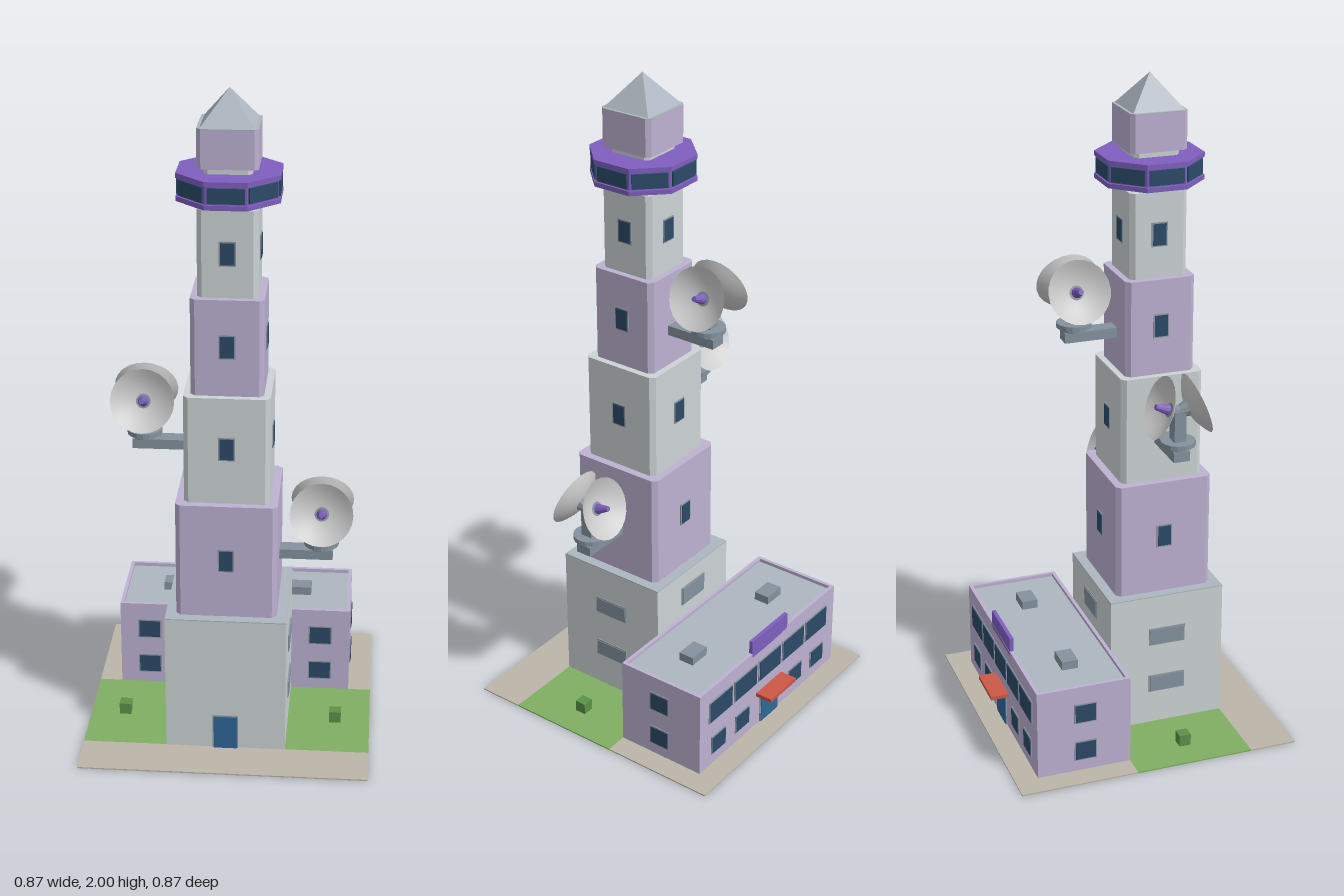
import * as THREE from 'three';

const mat = (color, side = THREE.FrontSide) => new THREE.MeshStandardMaterial({ color, side, flatShading: true });
const M = {
  pale: mat(0xcdd3d5, THREE.DoubleSide), lilac: mat(0xbdb1d2, THREE.DoubleSide), purple: mat(0x7f5fbf),
  glass: mat(0x2b4a68), frame: mat(0x8e97a3), steel: mat(0x84929e), roof: mat(0xadb6c0),
  door: mat(0x2e6797), grass: mat(0x7fae62), paving: mat(0xbcb5a8), bush: mat(0x5a9148), red: mat(0xcc5846),
};
M.dish = new THREE.MeshStandardMaterial({ color: 0xc6c4c2, side: THREE.DoubleSide });
const TZ = 0.11; // tower axis

function add(parent, name, geo, material, x = 0, y = 0, z = 0) {
  const m = new THREE.Mesh(geo, material);
  m.name = name;
  m.position.set(x, y, z);
  parent.add(m);
  return m;
}

// Box placed by its base height
function box(parent, name, material, w, h, d, x, y, z) {
  return add(parent, name, new THREE.BoxGeometry(w, h, d), material, x, y + h / 2, z);
}

// Box without its underside
function shell(parent, name, material, w, h, d, x, z) {
  const m = box(parent, name, material, w, h, d, x, 0, z);
  const idx = Array.from(m.geometry.index.array);
  idx.splice(18, 6);
  m.geometry.setIndex(idx);
  m.geometry.clearGroups();
  return m;
}

// Upright prism: square of half-width r with cut corners
function cutPrism(parent, name, material, r, cut, y0, y1, z = TZ) {
  const c = r - cut;
  const pts = [[r, -c], [r, c], [c, r], [-c, r], [-r, c], [-r, -c], [-c, -r], [c, -r]];
  const shape = new THREE.Shape(pts.map(p => new THREE.Vector2(...p)));
  const g = new THREE.ExtrudeGeometry(shape, { depth: y1 - y0, bevelEnabled: false }).rotateX(-Math.PI / 2);
  return add(parent, name, g, material, 0, y0, z);
}

// Framed pane; its local +z points out of the wall
function pane(parent, name, w, h, x, y, z, turn, material = M.glass) {
  const g = new THREE.Group();
  g.name = name;
  box(g, 'frame', M.frame, w + 0.008, h + 0.008, 0.006, 0, -h / 2 - 0.004, 0);
  box(g, 'pane', material, w, h, 0.01, 0, -h / 2, 0);
  g.position.set(x, y, z);
  g.rotation.y = turn;
  parent.add(g);
}

// Bracket with two dishes, reaching out along local +z
function dishMount(name, wall, y, turn) {
  const g = new THREE.Group();
  g.name = name;
  const c = wall + 0.125;
  box(g, 'arm', M.steel, 0.05, 0.03, 0.17, 0, -0.03, wall + 0.075);
  add(g, 'pivot', new THREE.CylinderGeometry(0.035, 0.035, 0.012, 16), M.steel, 0, 0.006, c);
  add(g, 'turntable', new THREE.CylinderGeometry(0.052, 0.052, 0.014, 16), M.steel, 0, 0.019, c);
  box(g, 'post', M.steel, 0.036, 0.1, 0.04, 0, 0.02, c);
  const profile = [];
  for (let i = 0; i <= 6; i++) profile.push(new THREE.Vector2(0.094 * i / 6, 0.034 * (i / 6) ** 2));
  for (const s of [1, -1]) {
    const d = new THREE.Group();
    d.name = 'dish';
    add(d, 'reflector', new THREE.LatheGeometry(profile, 24), M.dish);
    add(d, 'feedHorn', new THREE.CylinderGeometry(0.008, 0.016, 0.042, 10), M.purple, 0, 0.026, 0);
    add(d, 'hub', new THREE.CylinderGeometry(0.025, 0.018, 0.03, 10), M.steel, 0, -0.013, 0);
    d.position.set(s * 0.026, 0.122, c);
    d.rotation.z = -s * THREE.MathUtils.degToRad(70);
    g.add(d);
  }
  g.position.set(0, y, TZ);
  g.rotation.y = turn;
  return g;
}

function createModel() {
  const root = new THREE.Group();
  const group = name => {
    const g = new THREE.Group();
    g.name = name;
    root.add(g);
    return g;
  };

  // Ground tiles around the footprints
  const ground = group('ground');
  const H = 0.004;
  box(ground, 'frontPaving', M.paving, 0.87, H, 0.145, 0, 0, 0.3625);
  box(ground, 'backPaving', M.paving, 0.87, H, 0.07, 0, 0, -0.4);
  for (const s of [1, -1]) {
    box(ground, 'sidePaving', M.paving, 0.07, H, 0.29, s * 0.4, 0, -0.22);
    box(ground, 'lawn', M.grass, 0.255, H, 0.365, s * 0.3075, 0, 0.1075);
    box(ground, 'bush', M.bush, 0.036, 0.04, 0.036, s * 0.328, 0, TZ);
  }

  // Tower base
  const tower = group('tower');
  shell(tower, 'towerBase', M.pale, 0.362, 0.437, 0.362, 0, TZ);
  box(tower, 'baseRoof', M.roof, 0.362, 0.003, 0.362, 0, 0.437, TZ);
  pane(tower, 'frontDoor', 0.07, 0.108, 0, 0.058, TZ + 0.182, 0, M.door);
  for (const s of [1, -1]) for (const y of [0.14, 0.302])
    pane(tower, 'baseVent', 0.108, 0.048, s * 0.181, y, TZ, s * Math.PI / 2, M.steel);
  pane(tower, 'backVent', 0.108, 0.055, 0, 0.355, TZ - 0.181, Math.PI, M.steel);

  // Stepped shaft; each mount replaces the window on its side
  const tiers = [
    { r: 0.15, y0: 0.44, y1: 0.8, win: 0.625, m: M.lilac, mount: 1, my: 0.605 },
    { r: 0.126, y0: 0.8, y1: 1.13, win: 0.973, m: M.pale, mount: 3, my: 0.952 },
    { r: 0.106, y0: 1.13, y1: 1.42, win: 1.28, m: M.lilac, mount: 2, my: 1.258 },
    { r: 0.087, y0: 1.42, y1: 1.675, win: 1.55, m: M.pale, mount: -1 },
  ];
  tiers.forEach((t, i) => {
    cutPrism(tower, 'tier' + (i + 1), t.m, t.r, 0.014, t.y0, t.y1);
    for (let k = 0; k < 4; k++) {
      const a = k * Math.PI / 2;
      if (k === t.mount) root.add(dishMount('dishMount' + (i + 1), t.r, t.my, a));
      else pane(tower, 'towerWindow', 0.04, 0.064, t.r * Math.sin(a), t.win, TZ + t.r * Math.cos(a), a);
    }
  });

  // Lookout gallery and cap
  const top = group('lookout');
  cutPrism(top, 'neck', M.pale, 0.068, 0.012, 1.67, 1.8);
  const R = 0.146, cut = R * (2 - Math.SQRT2);
  cutPrism(top, 'galleryFloor', M.purple, R, cut, 1.692, 1.706);
  cutPrism(top, 'galleryBody', M.purple, R - 0.006, cut - 0.003, 1.706, 1.76);
  cutPrism(top, 'galleryRoof', M.purple, R, cut, 1.758, 1.772);
  for (let k = 0; k < 8; k++) {
    const a = k * Math.PI / 4, d = R - 0.006;
    const w = box(top, 'galleryWindow', M.glass, 0.104, 0.044, 0.01, d * Math.sin(a), 1.71, TZ + d * Math.cos(a));
    w.rotation.y = a;
  }
  cutPrism(top, 'cabin', M.lilac, 0.086, 0.012, 1.79, 1.9);
  cutPrism(top, 'cabinEave', M.roof, 0.086, 0.012, 1.9, 1.903);
  const spire = new THREE.ConeGeometry(0.077 * Math.SQRT2, 0.097, 4).rotateY(Math.PI / 4);
  add(top, 'spire', spire, M.roof, 0, 1.9515, TZ);

  // Rear office block with parapet
  const office = group('office');
  const BZ = -0.22, W = 0.73, D = 0.29;
  shell(office, 'officeWalls', M.lilac, W, 0.272, D, 0, BZ);
  box(office, 'officeRoof', M.roof, W - 0.02, 0.003, D - 0.02, 0, 0.272, BZ);
  for (const s of [1, -1]) {
    box(office, 'parapet', M.lilac, W, 0.014, 0.011, 0, 0.272, BZ + s * (D / 2 - 0.0055));
    box(office, 'parapet', M.lilac, 0.011, 0.014, D - 0.022, s * (W / 2 - 0.0055), 0.272, BZ);
    box(office, 'roofUnit', M.steel, 0.072, 0.028, 0.05, s * 0.201, 0.274, BZ);
    for (const y of [0.072, 0.198]) {
      pane(office, 'frontWindow', 0.066, 0.056, s * 0.272, y, -0.075, 0);
      pane(office, 'sideWindow', 0.062, 0.056, s * 0.365, y, BZ + 0.004, s * Math.PI / 2);
    }
    for (const x of [0.145, 0.27])
      pane(office, 'lowerBackWindow', 0.066, 0.056, s * x, 0.072, -0.365, Math.PI);
  }
  for (let i = -2; i <= 2; i++)
    pane(office, 'upperBackWindow', 0.112, 0.068, i * 0.13, 0.2, -0.365, Math.PI);

  // Rear entrance
  pane(office, 'backDoor', 0.09, 0.1, 0, 0.054, -0.365, Math.PI, M.door);
  box(office, 'awning', M.red, 0.138, 0.012, 0.055, 0, 0.112, -0.3925);
  box(office, 'roofSign', M.purple, 0.19, 0.06, 0.012, 0, 0.27, -0.359);
  return root;
}

export { createModel };
